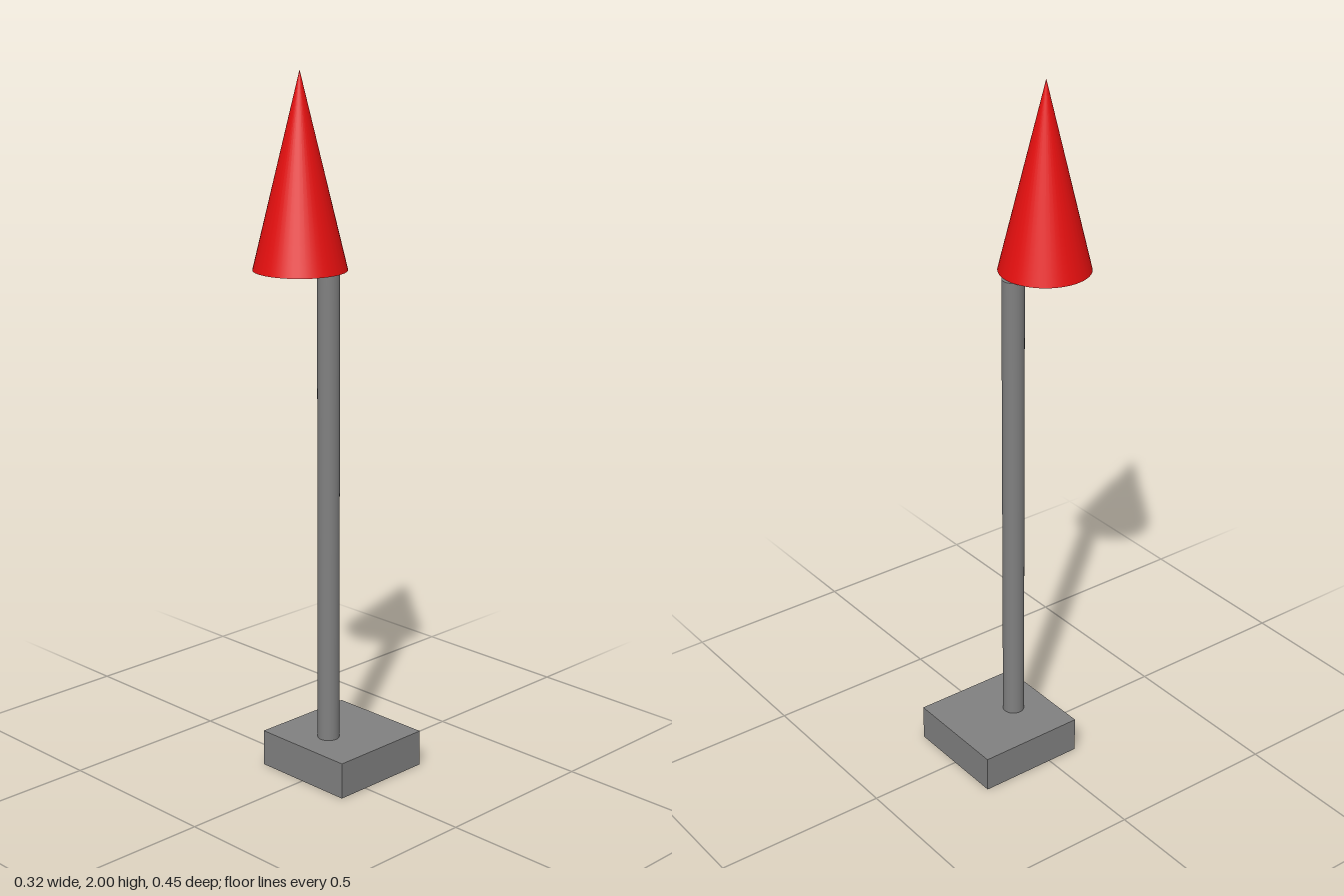
import * as THREE from 'three';

export function createModel() {
  const group = new THREE.Group();
  const grey = new THREE.MeshStandardMaterial({ color: 0x808080 });
  grey.name = 'grey';
  const red = new THREE.MeshStandardMaterial({ color: 0xee1010 });
  red.name = 'red';

  const add = (name, geometry, material, y, z) => {
    const mesh = new THREE.Mesh(geometry, material);
    mesh.name = name;
    mesh.position.set(0, y, z);
    group.add(mesh);
  };

  const baseHeight = 0.105, poleTop = 1.476, top = 2;
  const poleHeight = poleTop - baseHeight, coneHeight = top - poleTop;

  // Square foot, set back from the tip
  add('base', new THREE.BoxGeometry(0.318, baseHeight, 0.318), grey, baseHeight / 2, -0.065);
  // Slim upright pole
  add('pole', new THREE.CylinderGeometry(0.031, 0.031, poleHeight, 32), grey, baseHeight + poleHeight / 2, -0.011);
  // Cone tip, offset forward of the pole
  add('coneTip', new THREE.ConeGeometry(0.127, coneHeight, 48), red, poleTop + coneHeight / 2, 0.095);

  return group;
}
